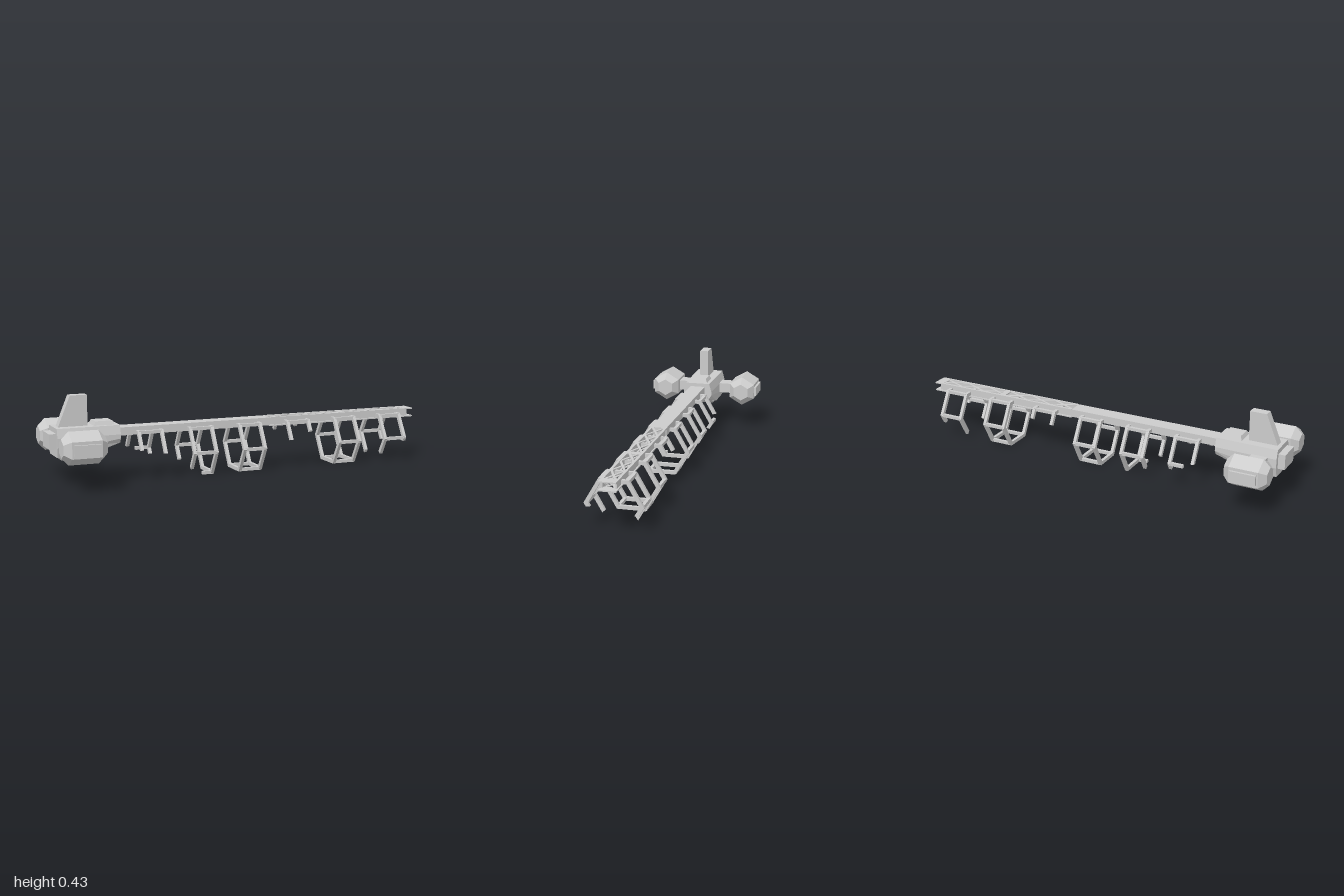
import * as THREE from 'three';

const material = new THREE.MeshStandardMaterial({ color: 0xcccccc, flatShading: true, side: THREE.DoubleSide });

function add(parent, name, geometry, x = 0, y = 0, z = 0) {
  const mesh = new THREE.Mesh(geometry, material);
  mesh.name = name;
  mesh.position.set(x, y, z);
  parent.add(mesh);
  return mesh;
}

// Box given by its limits on each axis
function block(parent, name, [x0, x1], [y0, y1], [z0, z1]) {
  return add(parent, name, new THREE.BoxGeometry(x1 - x0, y1 - y0, z1 - z0),
    (x0 + x1) / 2, (y0 + y1) / 2, (z0 + z1) / 2);
}

// Closed skin over rings of points, counter-clockwise seen from the last ring
function loft(rings) {
  const out = [], n = rings[0].length;
  const tri = (a, b, c) => out.push(...a, ...b, ...c);
  for (let i = 0; i + 1 < rings.length; i++) {
    for (let j = 0; j < n; j++) {
      const k = (j + 1) % n, [r, s] = [rings[i], rings[i + 1]];
      tri(r[j], r[k], s[k]);
      tri(r[j], s[k], s[j]);
    }
  }
  const first = rings[0], last = rings[rings.length - 1];
  for (let j = 1; j + 1 < n; j++) {
    tri(first[0], first[j + 1], first[j]);
    tri(last[0], last[j], last[j + 1]);
  }
  const g = new THREE.BufferGeometry();
  g.setAttribute('position', new THREE.Float32BufferAttribute(out, 3));
  g.computeVertexNormals();
  return g;
}

// Rectangle at height y for tapered blocks
const rect = (x0, x1, y, w) => [[x0, y, w], [x1, y, w], [x1, y, -w], [x0, y, -w]];

function buildHull(root) {
  const hull = new THREE.Group();
  hull.name = 'hull';
  const section = (x, bottom, knee, w) => [
    [-w, bottom], [w, bottom], [w + 0.013, knee], [w + 0.013, 0.235],
    [w, 0.28], [-w, 0.28], [-w - 0.013, 0.235], [-w - 0.013, knee],
  ].map(([u, y]) => [x, y, -u]);
  add(hull, 'hullBody', loft([
    section(-0.965, 0.14, 0.19, 0.07),
    section(-0.82, 0.14, 0.19, 0.07),
    section(-0.65, 0.193, 0.215, 0.066),
  ]));
  add(hull, 'belly', loft([rect(-0.94, -0.83, 0.123, 0.048), rect(-0.955, -0.81, 0.142, 0.054)]));
  add(hull, 'roofHatch', loft([rect(-0.775, -0.67, 0.278, 0.05), rect(-0.765, -0.68, 0.3, 0.04)]));
  block(hull, 'rearPanel', [-1, -0.96], [0.18, 0.255], [-0.06, 0.06]);

  // Tail fin with a sloping rear edge
  const fin = new THREE.Shape([[-0.95, 0.27], [-0.8, 0.27], [-0.8, 0.43], [-0.885, 0.43]]
    .map(([x, y]) => new THREE.Vector2(x, y)));
  add(hull, 'fin', new THREE.ExtrudeGeometry(fin, { depth: 0.046, bevelEnabled: false }), 0, 0, -0.023);
  root.add(hull);
}

function buildEngines(root) {
  block(root, 'engineCrossbeam', [-0.92, -0.84], [0.185, 0.238], [-0.17, 0.17]);
  const profile = [[0, -0.107], [0.046, -0.107], [0.08, -0.073], [0.08, 0.073], [0.046, 0.107], [0, 0.107]]
    .map(([r, y]) => new THREE.Vector2(r, y));
  for (const side of [1, -1]) {
    const pod = new THREE.Group();
    pod.name = side > 0 ? 'leftEngine' : 'rightEngine';
    const shell = new THREE.LatheGeometry(profile, 6, Math.PI / 2).rotateZ(Math.PI / 2);
    add(pod, 'engineShell', shell);
    add(pod, 'enginePanel', new THREE.BoxGeometry(0.13, 0.05, 0.022), 0, 0, side * 0.07);
    pod.position.set(-0.878, 0.21, side * 0.22);
    root.add(pod);
  }
}

function buildSpine(root) {
  const spine = new THREE.Group();
  spine.name = 'spine';
  block(spine, 'solidSpine', [-0.66, 0.16], [0.222, 0.262], [-0.04, 0.04]);
  for (const s of [1, -1]) {
    block(spine, 'sidePlate', [0.16, 0.97], [0.224, 0.26], s > 0 ? [0.03, 0.036] : [-0.036, -0.03]);
  }
  // Corner rails with crossed bracing above and below
  const bays = 6, bay = 0.81 / bays, width = 0.062;
  for (const y of [0.22, 0.26]) {
    for (const s of [1, -1]) {
      add(spine, 'cornerRail', new THREE.BoxGeometry(0.84, 0.006, 0.012), 0.58, y, s * 0.036);
      for (let i = 0; i < bays; i++) {
        const brace = add(spine, 'brace', new THREE.BoxGeometry(Math.hypot(bay, width), 0.005, 0.011),
          0.16 + bay * (i + 0.5), y, 0);
        brace.rotation.y = s * Math.atan2(width, bay);
      }
    }
    block(spine, 'endPlate', [0.95, 1], [y - 0.003, y + 0.003], [-0.034, 0.034]);
    block(spine, 'middlePlate', [0.565, 0.595], [y - 0.003, y + 0.003], [-0.032, 0.032]);
  }
  root.add(spine);
}

const OUTER = 0.141, INNER = 0.12, CENTRE_Y = 0.1222, BAR = 0.016;

// Point on the hexagon; u = -z so that a quarter turn carries the depth to +x
function hexPoint(radius, corner, side) {
  const a = corner * Math.PI / 3;
  return new THREE.Vector2(-side * radius * Math.cos(a), CENTRE_Y + radius * Math.sin(a));
}

function hexSegment(parent, x, from, to, side, amount) {
  const o = hexPoint(OUTER, from, side), i = hexPoint(INNER, from, side);
  const o2 = o.clone().lerp(hexPoint(OUTER, to, side), amount);
  const i2 = i.clone().lerp(hexPoint(INNER, to, side), amount);
  const g = new THREE.ExtrudeGeometry(new THREE.Shape([o, o2, i2, i]), { depth: BAR, bevelEnabled: false });
  add(parent, 'ringSegment', g.rotateY(Math.PI / 2), x - BAR / 2);
}

// Ring whose two arms reach a number of segments down from the top
function buildRing(parent, x, front, back) {
  hexSegment(parent, x, 1, 2, 1, 1);
  for (const [side, reach] of [[1, front], [-1, back]]) {
    for (let i = 0; i < reach; i++) hexSegment(parent, x, 1 - i, -i, side, Math.min(1, reach - i));
  }
}

// Bar along x joining two rings at a hexagon corner
function buildBar(parent, x0, x1, corner, side) {
  const p = hexPoint((OUTER + INNER) / 2, corner, side);
  block(parent, 'ringBar', [x0, x1], [p.y - 0.008, p.y + 0.008], [-p.x - 0.008, -p.x + 0.008]);
}

function buildCradles(root) {
  // x of both rings, [front, back] reach of each, lowest corner with full bars
  const cradles = [
    { x: [-0.555, -0.437], reach: [[0.73, 0.85], [0.9, 1.27]], lowest: 1, stub: [-0.51, 0, -1] },
    { x: [-0.287, -0.172], reach: [[1.7, 1.6], [3, 2]], lowest: 0, stub: [-0.225, -1, 1] },
    { x: [-0.02, 0.092], reach: [[3, 2], [3, 2]], lowest: -1 },
    { x: [0.247, 0.364], reach: [[0.75, 0.5], [0.45, 0.4]], lowest: 1 },
    { x: [0.517, 0.63], reach: [[3, 2], [3, 2]], lowest: -1 },
    { x: [0.785, 0.9], reach: [[1.7, 1.88], [1.15, 1.4]], lowest: 0 },
  ];
  for (const { x, reach, lowest, stub } of cradles) {
    const cradle = new THREE.Group();
    cradle.name = 'cradle';
    x.forEach((px, i) => buildRing(cradle, px, ...reach[i]));
    for (let corner = 1; corner >= lowest; corner--) {
      for (const side of [1, -1]) buildBar(cradle, x[0], x[1], corner, side);
    }
    if (stub) buildBar(cradle, stub[0], x[1], stub[1], stub[2]);
    root.add(cradle);
  }
}

export function createModel() {
  const root = new THREE.Group();
  root.name = 'cargoShip';
  buildHull(root);
  buildEngines(root);
  buildSpine(root);
  buildCradles(root);
  return root;
}
